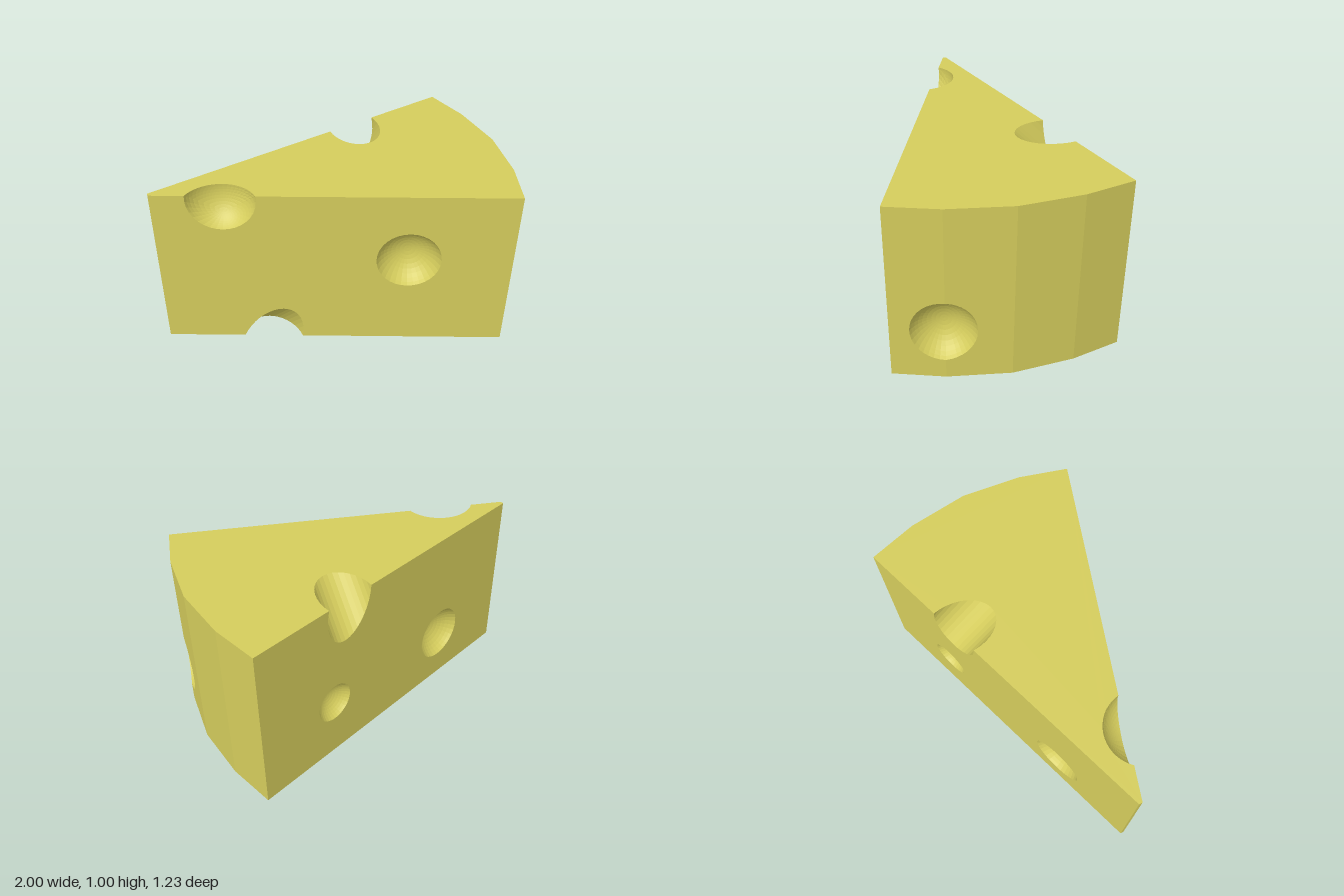
import * as THREE from 'three';

const V = (x, y, z) => new THREE.Vector3(x, y, z);
const UP = V(0, 1, 0), DOWN = V(0, -1, 0);
const STEPS = 18;

// Plan of the wedge (x, z), from the tip along the front, round the rind, and back
const plan = [[-1, 0.01], [0.88, 0.613], [0.96, 0.34], [1, 0], [0.96, -0.34], [0.88, -0.613], [-1, -0.01]];
const lo = plan.map(([x, z]) => V(x, 0, z));
const hi = plan.map(([x, z]) => V(x, 1, z));
const next = i => (i + 1) % plan.length;

function wallPlane(i) {
  const t = lo[next(i)].clone().sub(lo[i]);
  return { n: V(-t.z, 0, t.x).normalize(), p: lo[i] };
}

// Point on wall i at a given x and height
function onWall(i, x, y) {
  const a = lo[i], b = lo[next(i)];
  return a.clone().lerp(b, (x - a.x) / (b.x - a.x)).setY(y);
}

const without = (v, d) => d ? v.clone().addScaledVector(d, -v.dot(d)) : v.clone();

// Where the line a-b enters and leaves a sphere, or a cylinder of axis d
function edgeHits(a, b, c, r, d) {
  const dir = b.clone().sub(a), m = without(dir, d), o = without(a.clone().sub(c), d);
  const A = m.dot(m), B = m.dot(o), root = Math.sqrt(B * B - A * (o.dot(o) - r * r));
  return [(-B - root) / A, (-B + root) / A].map(t => a.clone().addScaledVector(dir, t));
}

// Arc about axis n from P to Q, bulging towards the hint direction
function arc(o, n, P, Q, hint) {
  const p = P.clone().sub(o), q = Q.clone().sub(o), r = p.length();
  const u = p.normalize(), v = n.clone().cross(u);
  const at = s => o.clone().addScaledVector(u, r * Math.cos(s)).addScaledVector(v, r * Math.sin(s));
  let sweep = Math.atan2(q.dot(v), q.dot(u));
  if (at(sweep / 2).sub(o).dot(hint) < 0) sweep -= Math.sign(sweep) * 2 * Math.PI;
  return Array.from({ length: STEPS + 1 }, (_, k) => at(sweep * k / STEPS));
}

const dropTo = (c, { n, p }) => c.clone().addScaledVector(n, p.clone().sub(c).dot(n));
const sphereArc = (c, plane, P, Q, hint) => arc(dropTo(c, plane), plane.n, P, Q, hint);

// The two curves in which a cylinder meets two planes that share the edge P-Q
function cylinderArcs(c, d, P, Q, planes, hint) {
  const flat = v => without(v.clone().sub(c), d).add(c);
  const rulings = arc(c, d, flat(P), flat(Q), hint);
  return planes.map(({ n, p }) => rulings.map(l =>
    l.clone().addScaledVector(d, p.clone().sub(l).dot(n) / d.dot(n))));
}

// Mesh from triangles, each turned to face its reference direction
function makeMesh(name, triangles, material) {
  const pos = [];
  for (const [a, b, c, ref] of triangles) {
    const n = b.clone().sub(a).cross(c.clone().sub(a));
    if (n.length() < 1e-10) continue;
    for (const v of n.dot(ref) > 0 ? [a, b, c] : [a, c, b]) pos.push(v.x, v.y, v.z);
  }
  const geometry = new THREE.BufferGeometry();
  geometry.setAttribute('position', new THREE.Float32BufferAttribute(pos, 3));
  geometry.computeVertexNormals();
  const mesh = new THREE.Mesh(geometry, material);
  mesh.name = name;
  return mesh;
}

// Flat face with notched outline and holes
function faceTriangles(n, outline, holes = []) {
  const u = (Math.abs(n.y) > 0.5 ? V(1, 0, 0) : UP.clone().cross(n)).normalize();
  const v = n.clone().cross(u);
  const clean = l => l.filter((p, k) => p.distanceTo(l[(k + 1) % l.length]) > 1e-6);
  const loops = [outline, ...holes].map(clean);
  const flat = loops.map(l => l.map(p => new THREE.Vector2(p.dot(u), p.dot(v))));
  const all = loops.flat();
  return THREE.ShapeUtils.triangulateShape(flat[0], flat.slice(1))
    .map(([a, b, c]) => [all[a], all[b], all[c], n]);
}

// Spherical hollow spanning a rim, closing in rings on its deepest point
function hollowTriangles(rim, c, r, inward) {
  const rings = 9, tris = [], pole = inward.clone().setLength(r);
  const at = (i, k) => rim[i % rim.length].clone().sub(c).lerp(pole, k / rings).setLength(r).add(c);
  for (let i = 0; i < rim.length; i++) for (let k = 0; k < rings; k++) {
    const a = at(i, k), b = at(i + 1, k), e = at(i + 1, k + 1), f = at(i, k + 1);
    const ref = c.clone().sub(a);
    tris.push([a, b, e, ref], [a, e, f, ref]);
  }
  return tris;
}

function grooveTriangles([s, t], c, d) {
  const tris = [];
  for (let k = 0; k < STEPS; k++) {
    const ref = without(c.clone().sub(s[k]), d);
    tris.push([s[k], s[k + 1], t[k + 1], ref], [s[k], t[k + 1], t[k], ref]);
  }
  return tris;
}

export function createModel() {
  const group = new THREE.Group();
  group.name = 'cheeseWedge';
  const material = new THREE.MeshStandardMaterial({ color: 0xd4cc5c, flatShading: true });
  const add = (name, tris) => group.add(makeMesh(name, tris, material));
  const front = wallPlane(0), back = wallPlane(5);
  const top = { n: UP, p: hi[0] }, bottom = { n: DOWN, p: lo[0] };
  const rev = l => [...l].reverse();

  // Round hollows lying wholly within one wall: [wall, x, y, rim radius]
  const holes = { 0: [], 5: [] };
  for (const [i, x, y, a] of [[0, 0.33, 0.58, 0.181], [5, 0.388, 0.36, 0.118], [5, -0.477, 0.316, 0.165]]) {
    const { n } = wallPlane(i), o = onWall(i, x, y), side = UP.clone().cross(n);
    const rim = Array.from({ length: 32 }, (_, k) => {
      const s = k / 32 * 2 * Math.PI;
      return o.clone().addScaledVector(side, a * Math.cos(s)).addScaledVector(UP, a * Math.sin(s));
    });
    const off = 0.48 * a, c = o.clone().addScaledVector(n, off);
    holes[i].push(rim);
    add('roundHole', hollowTriangles(rim, c, Math.hypot(a, off), n.clone().negate()));
  }

  // Hollow breaking the front top edge
  const tipC = onWall(0, -0.64, 0.974).addScaledVector(front.n, 0.088), tipR = 0.209;
  const [tp, tq] = edgeHits(hi[0], hi[1], tipC, tipR);
  const tipFront = sphereArc(tipC, front, tp, tq, DOWN);
  const tipTop = sphereArc(tipC, top, tp, tq, V(0, 0, -1));
  add('topEdgeHole', hollowTriangles([...tipFront, ...rev(tipTop)], tipC, tipR,
    front.n.clone().negate().add(V(0, -0.7, 0))));

  // Hollow straddling two panels of the rind
  const rindC = V(1.035, 0.29, 0.365), rindR = 0.195;
  const [rp, rq] = edgeHits(lo[2], hi[2], rindC, rindR);
  const rindA = sphereArc(rindC, wallPlane(1), rp, rq, V(0, 0, 1));
  const rindB = sphereArc(rindC, wallPlane(2), rp, rq, V(0, 0, -1));
  add('rindHole', hollowTriangles([...rindA, ...rev(rindB)], rindC, rindR, V(-1, 0, -0.2)));

  // Slanting groove through the front bottom edge
  const lowC = V(-0.41, 0, 0.241), lowD = V(0.25, 1.1, 1).normalize();
  const [lp, lq] = edgeHits(lo[0], lo[1], lowC, 0.164, lowD);
  const low = cylinderArcs(lowC, lowD, lp, lq, [front, bottom], V(0, 1, -1));
  add('bottomGroove', grooveTriangles(low, lowC, lowD));

  // Slanting groove through the back top edge
  const rearC = V(0.27, 1, -0.385), rearD = V(0, 1, 1).normalize();
  const [bp, bq] = edgeHits(hi[5], hi[6], rearC, 0.152, rearD);
  const rear = cylinderArcs(rearC, rearD, bp, bq, [back, top], V(0, -1, 1));
  add('topGroove', grooveTriangles(rear, rearC, rearD));

  // Upright walls, with the edge cuts spliced into their outlines
  const names = ['frontFace', 'rindPanel', 'rindPanel', 'rindPanel', 'rindPanel', 'backFace', 'tip'];
  const cuts = {
    0: { base: low[0], crown: rev(tipFront) }, 1: { end: rindA },
    2: { start: rev(rindB) }, 5: { crown: rev(rear[0]) },
  };
  names.forEach((name, i) => {
    const { base = [], end = [], crown = [], start = [] } = cuts[i] || {}, j = next(i);
    const outline = [lo[i], ...base, lo[j], ...end, hi[j], ...crown, hi[i], ...start];
    add(name, faceTriangles(wallPlane(i).n, outline, holes[i]));
  });

  // Top and bottom
  add('topFace', faceTriangles(UP, [hi[0], ...tipTop, ...hi.slice(1, 6), ...rear[1], hi[6]]));
  add('bottomFace', faceTriangles(DOWN, [lo[0], ...low[1], ...lo.slice(1)]));
  return group;
}
